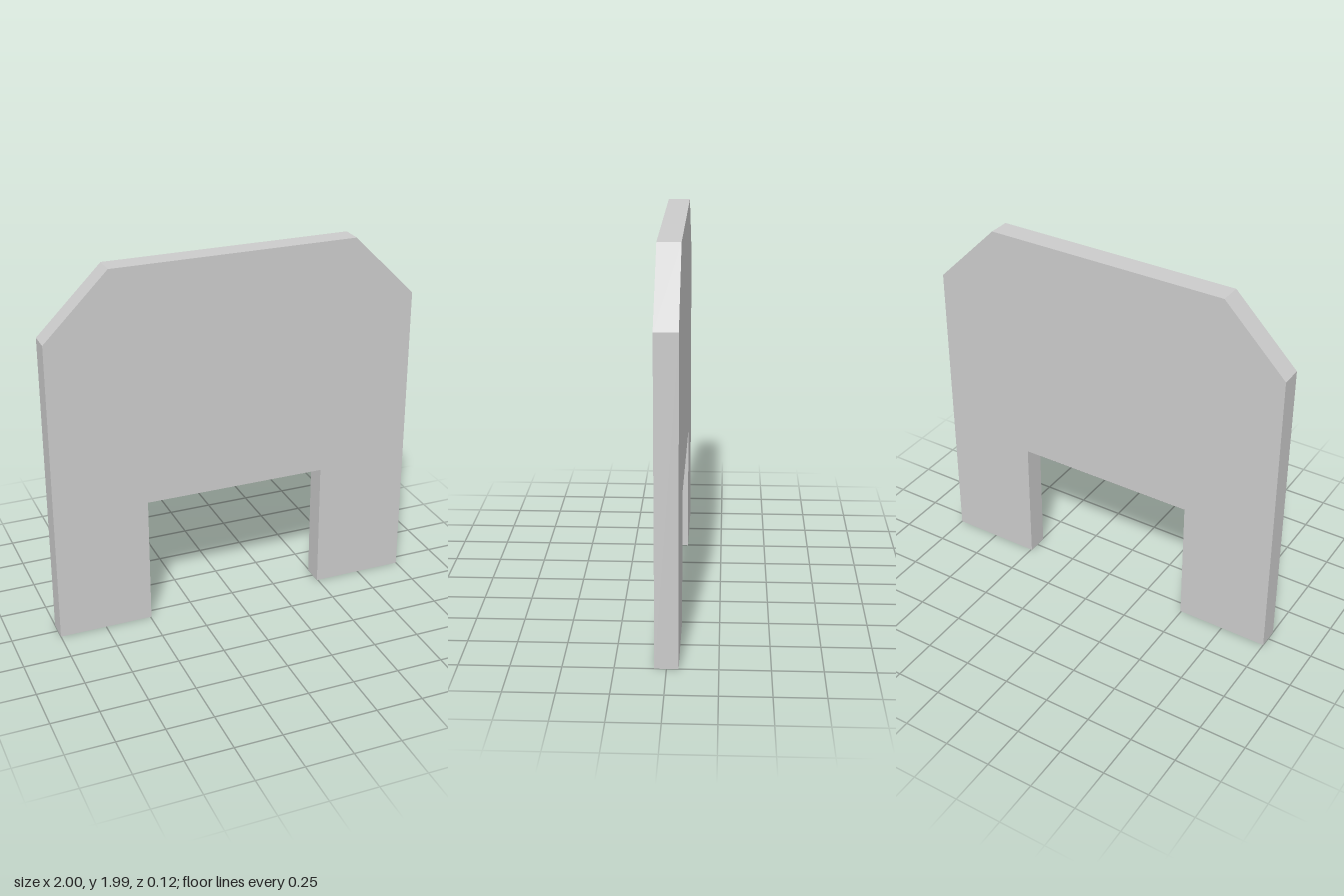
import * as THREE from 'three';

const HEIGHT = 1.99;
const DEPTH = 0.116;

export function createModel() {
  const group = new THREE.Group();
  group.name = 'notchedPanel';

  // Right half of the outline, from the notch's top corner round to the top edge
  const half = [[0.495, 0.7], [0.495, 0], [1, 0], [1, 1.65], [0.66, HEIGHT]];
  const mirrored = half.map(([x, y]) => [-x, y]).reverse();
  const outline = [...half, ...mirrored].map(([x, y]) => new THREE.Vector2(x, y));

  // Flat plate with chamfered top corners and a rectangular opening between two legs
  const geometry = new THREE.ExtrudeGeometry(new THREE.Shape(outline), {
    depth: DEPTH,
    bevelEnabled: false,
  });
  geometry.translate(0, 0, -DEPTH / 2);

  const panel = new THREE.Mesh(geometry, new THREE.MeshStandardMaterial({ color: 0xcccccc }));
  panel.name = 'panel';
  group.add(panel);
  return group;
}
